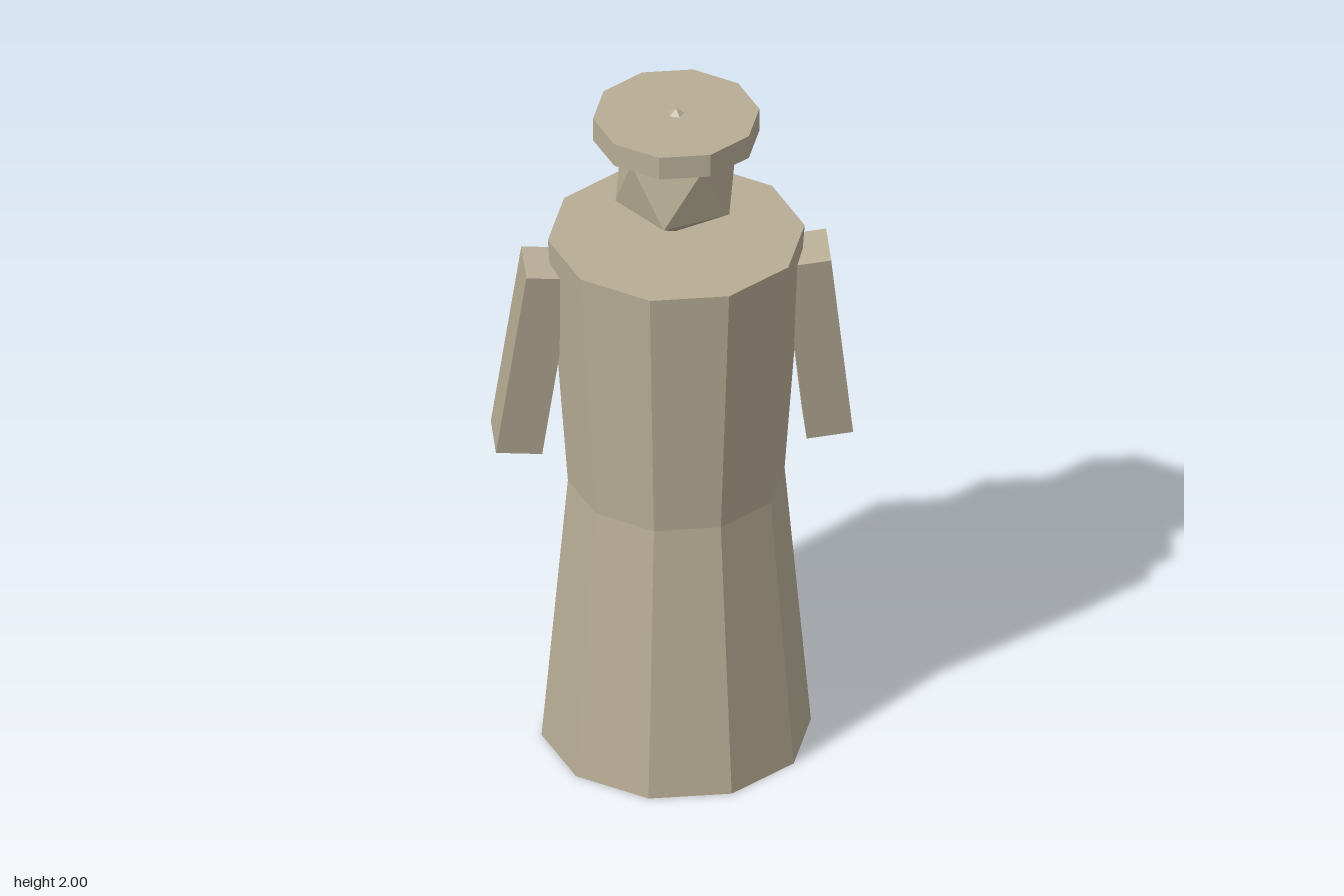
import * as THREE from 'three';

const CENTRE_Z = 0.018;

export function createModel() {
  const model = new THREE.Group();
  const material = new THREE.MeshStandardMaterial({ color: 0xb8ad96, flatShading: true });

  function add(name, geometry, x, y, z) {
    const mesh = new THREE.Mesh(geometry, material);
    mesh.name = name;
    mesh.position.set(x, y, z);
    model.add(mesh);
    return mesh;
  }

  // Ten-sided frustum between two heights, with a flat side to the front
  function frustum(name, topRadius, bottomRadius, bottom, top, open = false) {
    const geometry = new THREE.CylinderGeometry(topRadius, bottomRadius, top - bottom, 10, 1, open);
    geometry.rotateY(Math.PI / 10);
    return add(name, geometry, 0, (top + bottom) / 2, CENTRE_Z);
  }

  // Robe: flared skirt and torso meeting at the waist
  frustum('skirt', 0.297, 0.369, 0, 0.82);
  frustum('torso', 0.352, 0.297, 0.82, 1.6);

  // Head: faceted, standing on one point, its top point poking through the hat
  const head = new THREE.IcosahedronGeometry(1, 0);
  head.rotateZ(-Math.atan(2 / (1 + Math.sqrt(5))));
  // Turn so the lower ring has a corner on the model's right
  const p = head.attributes.position;
  let cornerX = 0;
  for (let i = 0; i < p.count; i++) {
    if (p.getY(i) < -0.3 && Math.abs(p.getZ(i)) < 0.01 && Math.abs(p.getX(i)) > 0.8) cornerX = p.getX(i);
  }
  if (cornerX > 0) head.rotateY(Math.PI);
  head.scale(0.186, 0.198, 0.193);
  add('head', head, 0, 1.802, 0.016);

  // Flat round hat
  frustum('hat', 0.228, 0.228, 1.915, 1.985);

  // Arms, swung outward and back
  for (const side of [1, -1]) {
    const arm = add(side > 0 ? 'leftArm' : 'rightArm',
      new THREE.BoxGeometry(0.128, 0.642, 0.13), side * 0.39, 1.212, -0.036);
    arm.rotation.set(0.17, 0, side * 0.112);
  }

  // Board carried on the back
  add('backBoard', new THREE.BoxGeometry(0.444, 0.965, 0.073), 0, 0.857, -0.335);

  return model;
}
